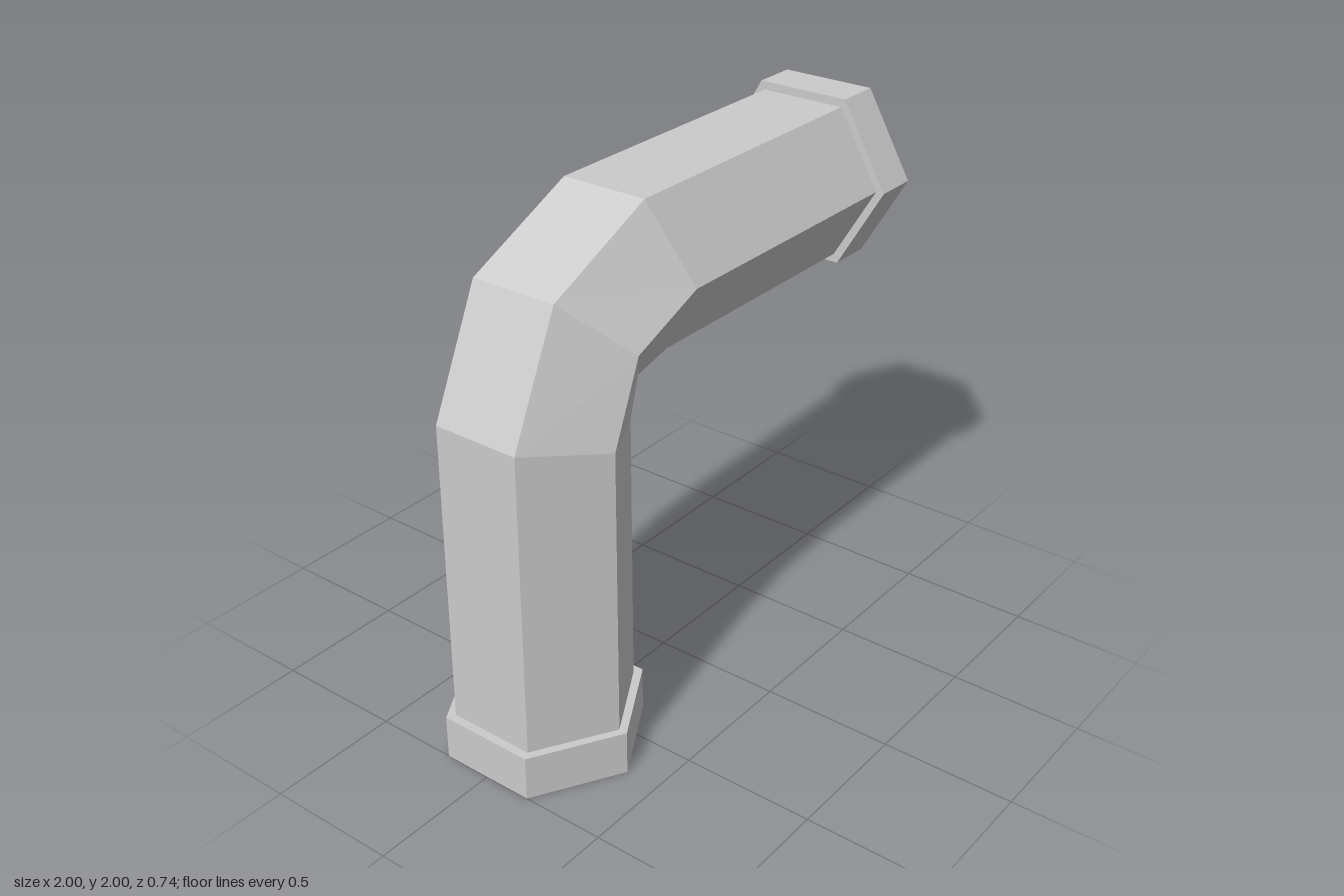
import * as THREE from 'three';

// Hexagon corners: t runs from the outer side of the bend (0) to the inner side (1), z is a share of the radius
const HEX = [[0, -0.5], [0, 0.5], [0.5, 1], [1, 0.5], [1, -0.5], [0.5, -1]];
const PIPE_R = 0.335, COLLAR_R = 0.368;

const material = new THREE.MeshStandardMaterial({
  color: 0xcccccc, flatShading: true, side: THREE.DoubleSide,
});

// Ring = [outer x, outer y, inner x, inner y, radius]; consecutive rings are joined by quads
function loft(name, rings) {
  const corner = ([ox, oy, ix, iy, r], j) => {
    const [t, z] = HEX[j % 6];
    return [ox + (ix - ox) * t, oy + (iy - oy) * t, z * r];
  };
  const pos = [];
  for (let i = 0; i < rings.length - 1; i++) {
    for (let j = 0; j < 6; j++) {
      const a = corner(rings[i], j), b = corner(rings[i], j + 1);
      const c = corner(rings[i + 1], j + 1), d = corner(rings[i + 1], j);
      pos.push(...a, ...b, ...c, ...a, ...c, ...d);
    }
  }
  const geometry = new THREE.BufferGeometry();
  geometry.setAttribute('position', new THREE.Float32BufferAttribute(pos, 3));
  geometry.computeVertexNormals();
  const mesh = new THREE.Mesh(geometry, material);
  mesh.name = name;
  return mesh;
}

// Level ring on the upright leg, and upright ring on the horizontal arm
const legRing = (y, half, r) => [-0.681 - half, y, -0.681 + half, y, r];
const armRing = (x, half, r) => [x, 1.682 + half, x, 1.682 - half, r];

export function createModel() {
  const group = new THREE.Group();
  group.name = 'elbowPipe';

  // Open six-sided pipe with a three-section bend
  group.add(loft('pipe', [
    legRing(0.17, 0.287, PIPE_R),
    [-0.966, 1.32, -0.396, 1.21, PIPE_R],
    [-0.762, 1.763, -0.355, 1.36, PIPE_R],
    [-0.315, 1.968, -0.2, 1.398, PIPE_R],
    armRing(0.83, 0.287, PIPE_R),
  ]));

  // Thin open collars, each closed to the pipe by a narrow step
  group.add(loft('bottomCollar', [
    legRing(0, 0.319, COLLAR_R),
    legRing(0.17, 0.319, COLLAR_R),
    legRing(0.17, 0.287, PIPE_R),
  ]));
  group.add(loft('endCollar', [
    armRing(0.83, 0.287, PIPE_R),
    armRing(0.83, 0.319, COLLAR_R),
    armRing(1, 0.319, COLLAR_R),
  ]));
  return group;
}
